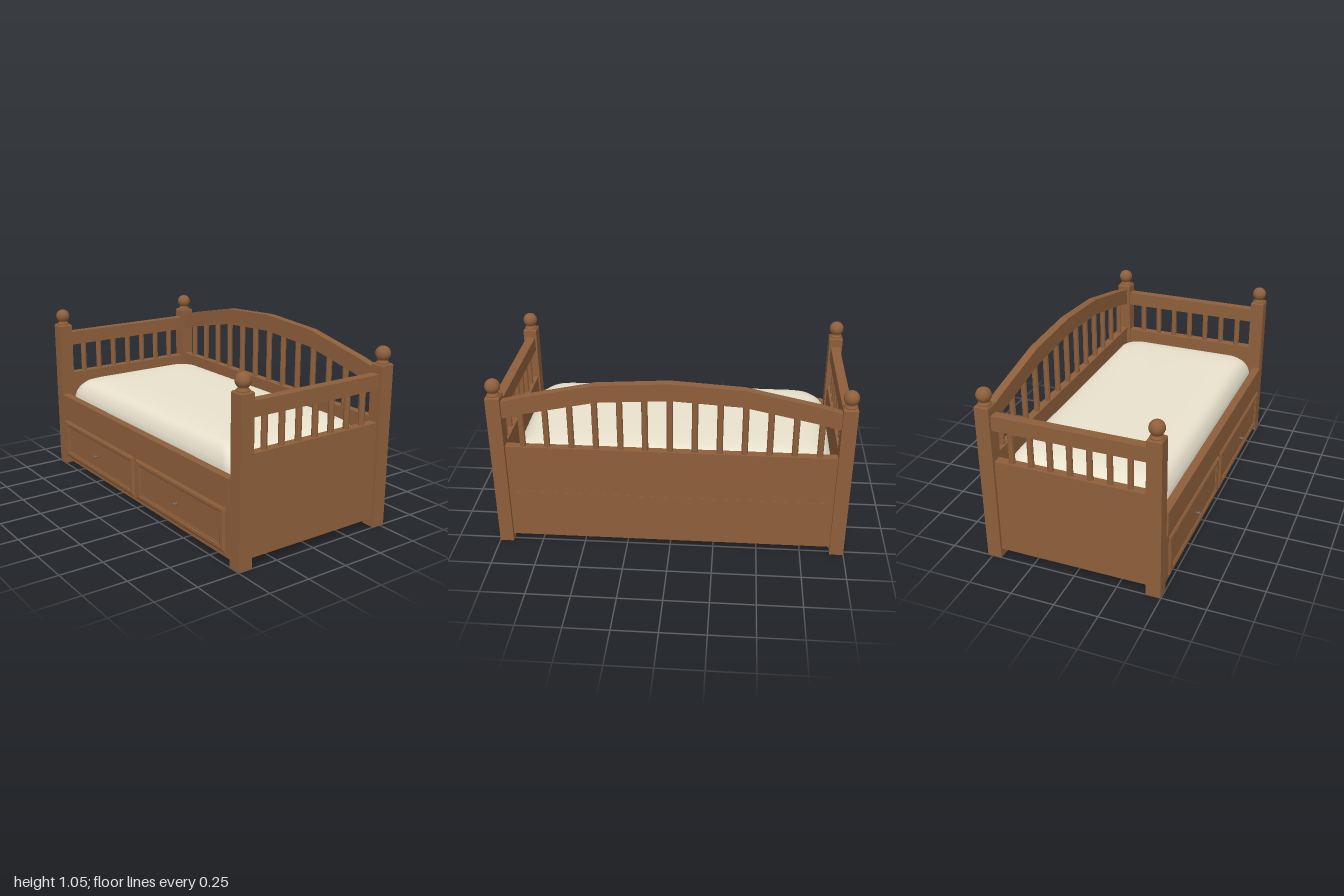
import * as THREE from 'three';

const wood = new THREE.MeshStandardMaterial({ color: 0x8e5f3b });
const woodFlat = new THREE.MeshStandardMaterial({ color: 0x8e5f3b, flatShading: true });
const cloth = new THREE.MeshStandardMaterial({ color: 0xe9e2cd });
const metal = new THREE.MeshStandardMaterial({ color: 0x77706a });

export function createModel() {
  const model = new THREE.Group();

  const add = (name, geometry, material = wood, parent = model) => {
    const mesh = new THREE.Mesh(geometry, material);
    mesh.name = name;
    parent.add(mesh);
    return mesh;
  };
  // Box given by its limits on each axis
  const box = (name, x0, x1, y0, y1, z0, z1, parent = model) => {
    const m = add(name, new THREE.BoxGeometry(x1 - x0, y1 - y0, z1 - z0), wood, parent);
    m.position.set((x0 + x1) / 2, (y0 + y1) / 2, (z0 + z1) / 2);
    return m;
  };
  // Eight-sided upright spindle
  const spindle = (name, x, z, y0, y1) => {
    const g = new THREE.CylinderGeometry(0.0175, 0.0175, y1 - y0, 8);
    add(name, g, woodFlat).position.set(x, (y0 + y1) / 2, z);
  };

  // Corner posts with chamfered tops and turned ball finials
  const profile = [[0, 0.935], [0.036, 0.935], [0.036, 0.946], [0.029, 0.951],
    [0.026, 0.958], [0.029, 0.964], [0.033, 0.967]].map(p => new THREE.Vector2(...p));
  for (let i = 0; i <= 10; i++) {
    const a = -0.75 + (i / 10) * (Math.PI / 2 + 0.75);
    profile.push(new THREE.Vector2(Math.max(0, 0.0425 * Math.cos(a)), 0.993 + 0.0425 * Math.sin(a)));
  }
  const finialGeo = new THREE.LatheGeometry(profile, 20);
  for (const sx of [-1, 1]) {
    for (const z of [0.455, -0.488]) {
      const post = new THREE.Group();
      post.name = 'cornerPost';
      post.position.set(sx * 0.96, 0, z);
      model.add(post);
      box('postShaft', -0.04, 0.04, 0, 0.932, -0.042, 0.042, post);
      const top = add('postTop', new THREE.CylinderGeometry(0.036 * Math.SQRT2, 0.041 * Math.SQRT2, 0.008, 4), woodFlat, post);
      top.rotation.y = Math.PI / 4;
      top.position.y = 0.936;
      add('ballFinial', finialGeo, wood, post);
    }
  }

  // Lower body and front board
  box('drawerBody', -0.93, 0.93, 0.04, 0.335, -0.511, 0.495);
  box('frontBoard', -0.912, 0.912, 0.335, 0.48, 0.455, 0.503);
  box('frontBoardTenon', -0.93, 0.93, 0.335, 0.479, 0.457, 0.494);

  // End panels, rails and spindles
  for (const s of [-1, 1]) {
    const x0 = s > 0 ? 0.93 : -0.984, x1 = s > 0 ? 0.984 : -0.93;
    box('sidePanel', x0, x1, 0.05, 0.615, -0.47, 0.44);
    box('sideTopRail', x0, x1, 0.802, 0.887, -0.47, 0.44);
    for (let i = 0; i < 7; i++) spindle('sideSpindle', s * 0.957, 0.317 - 0.1118 * i, 0.605, 0.81);
  }

  // Back panel with its cap rail
  box('backPanel', -0.93, 0.93, 0.335, 0.607, -0.509, -0.468);
  box('backMidRail', -0.93, 0.93, 0.605, 0.63, -0.512, -0.465);

  // Faceted arched back rail
  const arch = [[-0.93, 0.905], [-0.8, 0.94], [-0.4, 1.025], [0, 1.05], [0.4, 1.025], [0.8, 0.94], [0.93, 0.905]];
  const drop = 0.1;
  const archShape = new THREE.Shape([...arch, ...arch.map(([x, y]) => [x, y - drop]).reverse()]
    .map(p => new THREE.Vector2(...p)));
  add('archedRail', new THREE.ExtrudeGeometry(archShape, { depth: 0.047, bevelEnabled: false }))
    .position.z = -0.512;
  const archUnder = x => {
    const i = arch.findIndex(p => p[0] >= x);
    const [a, b] = [arch[i - 1], arch[i]];
    return a[1] + (b[1] - a[1]) * (x - a[0]) / (b[0] - a[0]) - drop;
  };
  for (let i = 0; i < 13; i++) {
    const x = (i - 6) * 0.137;
    spindle('backSpindle', x, -0.488, 0.62, archUnder(x) + 0.02);
  }

  // Drawer fronts: bevelled frame, recessed panel and knob
  const rect = (C, w, h) => new C([[-w, -h], [w, -h], [w, h], [-w, h]].map(p => new THREE.Vector2(...p)));
  const knobProfile = [[0, 0], [0.008, 0], [0.005, 0.004], [0.004, 0.014], [0.009, 0.018], [0.009, 0.023], [0, 0.026]]
    .map(p => new THREE.Vector2(...p));
  for (const s of [-1, 1]) {
    const drawer = new THREE.Group();
    drawer.name = 'drawer';
    drawer.position.set(s * 0.451, 0.19, 0.495);
    model.add(drawer);
    const frame = rect(THREE.Shape, 0.423, 0.112);
    frame.holes.push(rect(THREE.Path, 0.398, 0.096));
    add('drawerFrame', new THREE.ExtrudeGeometry(frame, {
      depth: 0.005, bevelThickness: 0.007, bevelSize: 0.012, bevelSegments: 1,
    }), wood, drawer).position.z = 0.003;
    const inner = rect(THREE.Shape, 0.4, 0.098);
    inner.holes.push(rect(THREE.Path, 0.384, 0.083));
    add('drawerMoulding', new THREE.ExtrudeGeometry(inner, { depth: 0.011, bevelEnabled: false }), wood, drawer);
    box('drawerPanel', -0.39, 0.39, -0.09, 0.09, 0, 0.006, drawer);
    const knob = add('drawerKnob', new THREE.LatheGeometry(knobProfile, 12), metal, drawer);
    knob.rotation.x = Math.PI / 2;
    knob.position.z = 0.012;
    knob.scale.y = 1;
  }

  // Soft mattress: stacked rounded rectangles [y, inset x, inset z], closed on top
  const levels = [[0.335, 0, 0], [0.48, 0, 0], [0.515, 0.011, 0.008], [0.55, 0.035, 0.023],
    [0.576, 0.068, 0.042], [0.592, 0.11, 0.068], [0.602, 0.17, 0.11], [0.608, 0.3, 0.2]];
  const pos = [], idx = [], steps = 8, ring = 4 * (steps + 1);
  for (const [y, ix, iz] of levels) {
    const hx = 0.912 - ix, hz = 0.46 - iz, r = 0.11;
    for (let c = 0; c < 4; c++) {
      const cx = (c === 0 || c === 3 ? 1 : -1) * (hx - r), cz = (c < 2 ? 1 : -1) * (hz - r);
      for (let k = 0; k <= steps; k++) {
        const a = (c + k / steps) * Math.PI / 2;
        pos.push(cx + r * Math.cos(a), y, cz + r * Math.sin(a) - 0.005);
      }
    }
  }
  const centre = pos.length / 3;
  pos.push(0, 0.61, -0.005);
  for (let l = 0; l < levels.length; l++) {
    for (let i = 0; i < ring; i++) {
      const a = l * ring + i, b = l * ring + (i + 1) % ring;
      if (l === levels.length - 1) idx.push(a, centre, b);
      else idx.push(a, a + ring, b, b, a + ring, b + ring);
    }
  }
  const mattress = new THREE.BufferGeometry();
  mattress.setAttribute('position', new THREE.Float32BufferAttribute(pos, 3));
  mattress.setIndex(idx);
  mattress.computeVertexNormals();
  add('mattress', mattress, cloth);

  return model;
}
